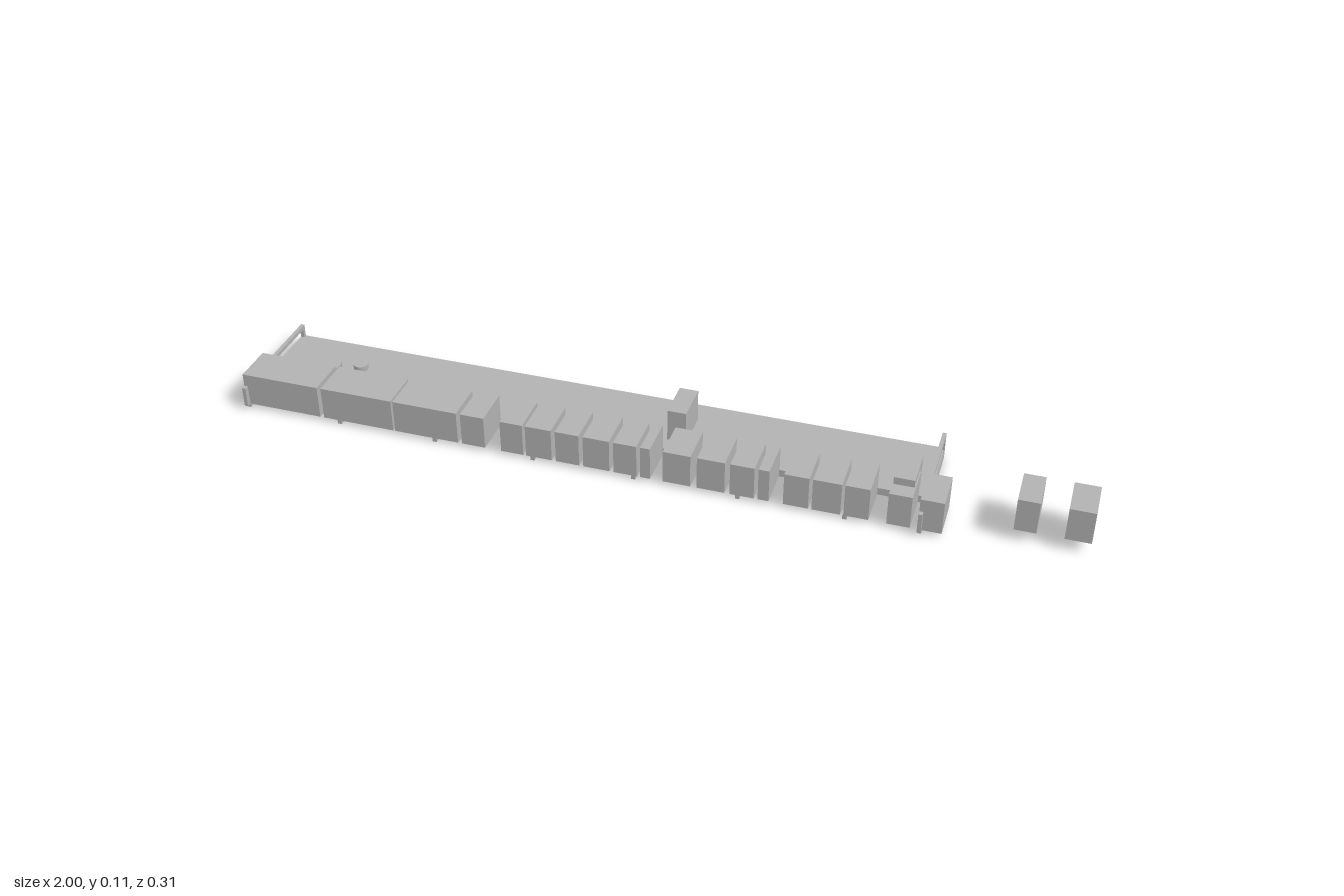
import * as THREE from 'three';

export function createModel() {
  const root = new THREE.Group();
  const grey = new THREE.MeshStandardMaterial({ color: 0xb2b2b2 });
  grey.name = 'plain grey';

  // Box given by its minimum and maximum on each axis
  const block = (name, x0, x1, y0, y1, z0, z1, parent = root) => {
    const mesh = new THREE.Mesh(new THREE.BoxGeometry(x1 - x0, y1 - y0, z1 - z0), grey);
    mesh.position.set((x0 + x1) / 2, (y0 + y1) / 2, (z0 + z1) / 2);
    mesh.name = name;
    parent.add(mesh);
  };

  // Floor slab on long beams and cross beams
  block('floor', -1, 0.64, 0.02, 0.028, -0.152, 0.045);
  for (const z of [-0.152, -0.055, 0.037]) block('longBeam', -1, 0.64, 0.01, 0.02, z, z + 0.008);
  for (let i = 0; i < 6; i++) {
    const x = -0.755 + i * 0.245;
    block('crossBeam', x - 0.005, x + 0.005, 0, 0.01, -0.152, 0.142);
  }

  // Row of cabinets along the front edge: [left, right]
  const cabinets = [
    [-1, -0.805], [-0.795, -0.615], [-0.61, -0.45], [-0.44, -0.382],
    [-0.342, -0.287], [-0.28, -0.217], [-0.207, -0.15], [-0.14, -0.077],
    [-0.067, -0.012], [-0.003, 0.02], [0.05, 0.115], [0.13, 0.195],
    [0.207, 0.263], [0.272, 0.297], [0.33, 0.387], [0.395, 0.46],
    [0.467, 0.523], [0.563, 0.615], [0.632, 0.685],
  ];
  for (const [a, b] of cabinets) block('cabinet', a, b, 0.01, 0.092, 0.042, 0.142);

  // Loose crates: [left, right, back]
  const crates = [[0.02, 0.065, -0.09], [0.565, 0.612, 0.005], [0.833, 0.882, 0.005], [0.942, 1, 0.005]];
  for (const [a, b, z] of crates) block('crate', a, b, 0.029, 0.11, z, z + 0.099);

  // Railing frame at each end
  for (const [x, top] of [[-1, 0.06], [0.632, 0.07]]) {
    const frame = new THREE.Group();
    frame.name = 'endRailing';
    root.add(frame);
    const x1 = x + 0.009;
    block('topRail', x, x1, top - 0.01, top, -0.152, 0.142, frame);
    block('bottomRail', x, x1, 0.01, 0.02, -0.152, 0.142, frame);
    block('footRail', x, x1, 0, 0.01, -0.152, 0.142, frame);
    block('backPost', x, x1, 0.01, top, -0.152, -0.143, frame);
    block('frontPost', x, x1, 0.01, 0.06, 0.142, 0.154, frame);
  }

  // Round stools on the floor
  for (const [x, z, r, h] of [[-0.87, -0.025, 0.039, 0.02], [-0.79, -0.055, 0.018, 0.014]]) {
    const disc = new THREE.Mesh(new THREE.CylinderGeometry(r, r, h, 32), grey);
    disc.position.set(x, 0.028 + h / 2, z);
    disc.name = 'roundTable';
    root.add(disc);
  }
  return root;
}
